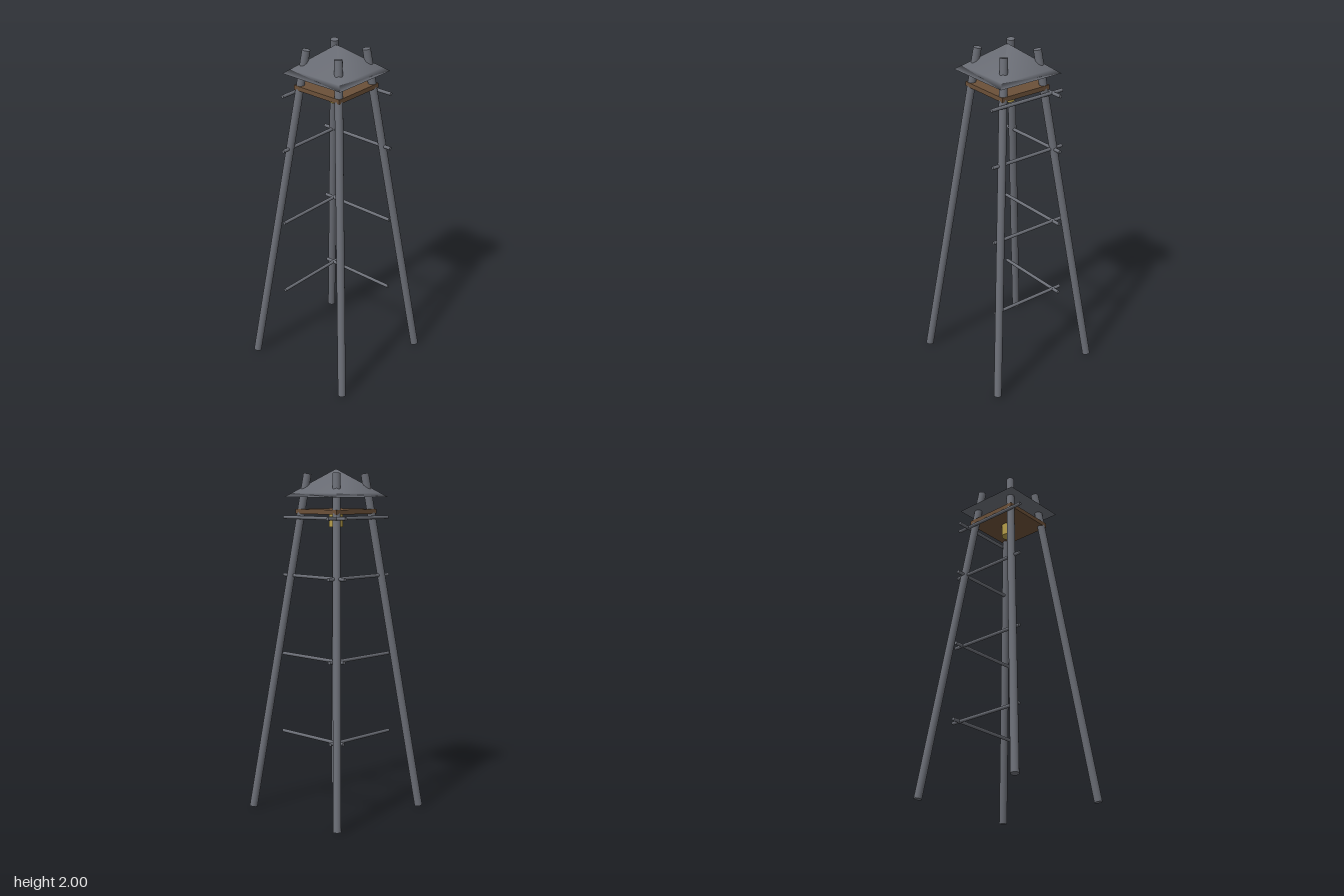
import * as THREE from 'three';

const steel = new THREE.MeshStandardMaterial({ color: 0x6a6d75 });
const wood = new THREE.MeshStandardMaterial({ color: 0x6b5038 });
const brass = new THREE.MeshStandardMaterial({ color: 0xb59d4a });

// Round bar between two points
function bar(name, from, to, radius, sides) {
  const a = new THREE.Vector3(...from);
  const b = new THREE.Vector3(...to);
  const dir = b.clone().sub(a);
  const mesh = new THREE.Mesh(new THREE.CylinderGeometry(radius, radius, dir.length(), sides), steel);
  mesh.name = name;
  mesh.position.copy(a).add(b).multiplyScalar(0.5);
  mesh.quaternion.setFromUnitVectors(new THREE.Vector3(0, 1, 0), dir.normalize());
  return mesh;
}

export function createModel() {
  const tower = new THREE.Group();
  tower.name = 'bellTower';

  // Four leaning legs that pierce the roof
  for (const sx of [-1, 1]) {
    for (const sz of [-1, 1]) {
      const name = (sz > 0 ? 'front' : 'back') + (sx > 0 ? 'Left' : 'Right') + 'Leg';
      tower.add(bar(name, [0.35 * sx, 0.004, 0.35 * sz], [0.116 * sx, 1.973, 0.116 * sz], 0.023, 24));
    }
  }

  // Rungs on the back and on the +x side, stepping slightly inward with height
  [0.458, 0.925, 1.39, 1.724].forEach((y, i) => {
    const d = 0.195 - i * 0.0065;
    tower.add(bar('backRung', [-0.248, y, -d], [0.248, y, -d], 0.01, 16));
    tower.add(bar('sideRung', [d, y, -0.248], [d, y, 0.248], 0.01, 16));
  });

  // Square platform carrying the bell
  const platform = new THREE.Mesh(new THREE.BoxGeometry(0.33, 0.026, 0.33), wood);
  platform.name = 'platform';
  platform.position.y = 1.758;
  tower.add(platform);

  const bell = new THREE.Mesh(new THREE.CylinderGeometry(0.04, 0.04, 0.076, 32), brass);
  bell.name = 'bell';
  bell.position.y = 1.708;
  tower.add(bell);

  // Four-sided roof with softened shading at the eaves, closed below
  const profile = [[0, 1.84], [0.21, 1.84], [0.18, 1.863], [0, 2]]
    .map(([half, y]) => new THREE.Vector2(half * Math.SQRT2, y));
  const roof = new THREE.Mesh(new THREE.LatheGeometry(profile, 4, Math.PI / 4), steel);
  roof.name = 'roof';
  tower.add(roof);

  return tower;
}
